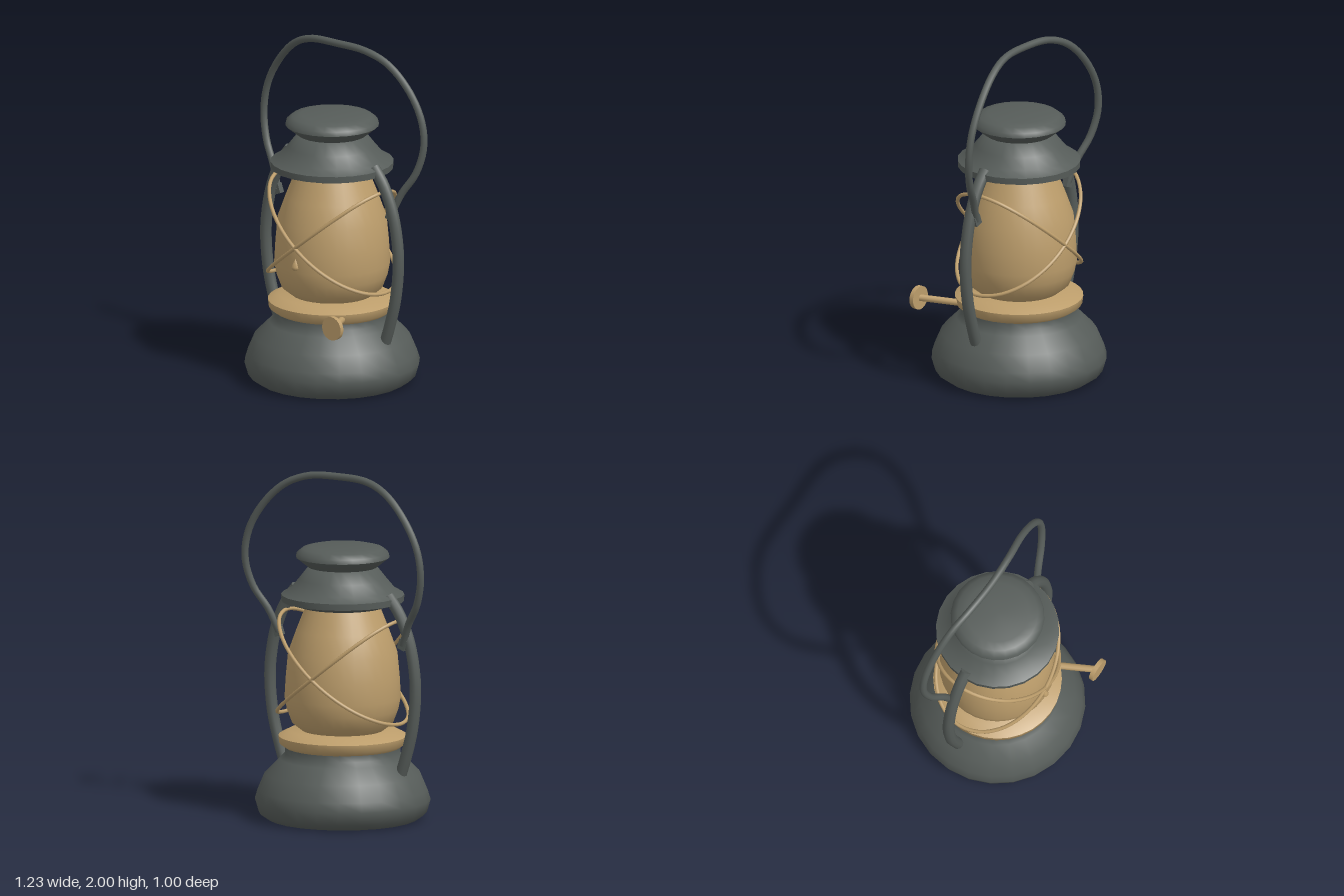
import * as THREE from 'three';
import { toCreasedNormals } from 'three/addons/utils/BufferGeometryUtils.js';

const iron = new THREE.MeshStandardMaterial({ color: 0x565c59 });
iron.name = 'dark iron';
const brass = new THREE.MeshStandardMaterial({ color: 0xbc9d6b });
brass.name = 'warm brass';

const vec = (p) => new THREE.Vector3(...p);

export function createModel() {
  const model = new THREE.Group();
  model.name = 'lantern';

  const add = (name, geometry, material) => {
    const mesh = new THREE.Mesh(geometry, material);
    mesh.name = name;
    model.add(mesh);
    return mesh;
  };
  // Turned part: profile of [radius, y] from bottom to top
  const turned = (name, profile, material, sides = 24) => {
    const geo = new THREE.LatheGeometry(profile.map(([r, y]) => new THREE.Vector2(r, y)), sides);
    return add(name, toCreasedNormals(geo, 0.95), material);
  };
  // Bent rod through points, with closed ends
  const rod = (name, points, radius, material, segments = 32) => {
    const pts = points.map(vec);
    const curve = new THREE.CatmullRomCurve3(pts);
    const mesh = add(name, new THREE.TubeGeometry(curve, segments, radius, 10), material);
    for (const t of [0, 1]) {
      const cap = new THREE.Mesh(new THREE.CircleGeometry(radius, 10), material);
      cap.name = name + 'End';
      cap.position.copy(curve.getPointAt(t));
      const out = curve.getTangentAt(t).multiplyScalar(t ? 1 : -1);
      cap.quaternion.setFromUnitVectors(new THREE.Vector3(0, 0, 1), out);
      mesh.add(cap);
    }
    return mesh;
  };

  // Fuel tank
  turned('tank', [[0, 0], [0.43, 0], [0.48, 0.035], [0.502, 0.11], [0.485, 0.165], [0.445, 0.26],
    [0.36, 0.345], [0.33, 0.375], [0.33, 0.42], [0, 0.42]], iron);

  // Burner collar
  turned('collar', [[0, 0.41], [0.33, 0.412], [0.362, 0.435], [0.367, 0.478], [0.305, 0.51], [0, 0.512]], brass, 32);

  // Globe
  turned('globe', [[0.22, 0.5], [0.24, 0.515], [0.29, 0.555], [0.318, 0.63], [0.332, 0.7], [0.325, 0.82],
    [0.312, 0.96], [0.265, 1.09], [0.21, 1.23]], brass, 32);

  // Hood and chimney cap
  turned('hood', [[0, 1.228], [0.25, 1.228], [0.35, 1.258], [0.352, 1.295], [0.3, 1.325],
    [0.25, 1.385], [0.195, 1.455], [0, 1.455]], iron);
  turned('chimneyCap', [[0, 1.452], [0.195, 1.452], [0.268, 1.51], [0.262, 1.535], [0.23, 1.56],
    [0.18, 1.572], [0, 1.572]], iron);

  // Small drop on the front of the globe
  const drop = turned('flameDrop', [[0, -0.032], [0.016, -0.026], [0.024, -0.01], [0.016, 0.012],
    [0.006, 0.032], [0, 0.05]], brass, 10);
  drop.position.set(0, 0.74, 0.325);

  // Side tubes
  for (const s of [1, -1]) {
    rod(s > 0 ? 'leftTube' : 'rightTube', [[0.31, 1.31], [0.385, 1.21], [0.45, 1.06], [0.485, 0.89],
      [0.492, 0.75], [0.47, 0.55], [0.425, 0.38], [0.395, 0.29]].map(([x, y]) => [s * x, y, 0]), 0.034, iron);
  }

  // Carrying handle
  const half = [[0.42, 1.04, -0.02], [0.475, 1.17, -0.045], [0.555, 1.3, -0.08], [0.594, 1.46, -0.104],
    [0.57, 1.62, -0.108], [0.48, 1.78, -0.1], [0.345, 1.91, -0.08], [0.2, 1.968, -0.055]];
  const other = half.map(([x, y, z]) => [-x, y, z]).reverse();
  rod('handle', [...half, [0, 1.979, -0.043], ...other], 0.021, iron, 72);
  for (const s of [1, -1]) {
    const tab = add('handleEnd', new THREE.BoxGeometry(0.05, 0.06, 0.035), iron);
    tab.position.set(s * 0.422, 1.045, -0.02);
    tab.rotation.z = -s * 0.35;
  }

  // Two crossed guard wires looping round the globe
  for (const s of [1, -1]) {
    const loop = [];
    for (let i = 0; i < 16; i++) {
      const a = (i / 16) * Math.PI * 2;
      const c = Math.cos(a), n = Math.sin(a);
      loop.push(vec([s * (0.382 * c - 0.008 * c * c), 0.875 + 0.297 * c - 0.03 * n * n, 0.334 * n]));
    }
    const curve = new THREE.CatmullRomCurve3(loop, true);
    add('guardWire', new THREE.TubeGeometry(curve, 64, 0.011, 8, true), brass);
  }

  // Wick adjuster
  rod('knobStem', [[0.26, 0.448, 0.22], [0.37, 0.463, 0.435]], 0.02, brass, 2);
  const knob = add('knob', new THREE.CylinderGeometry(0.069, 0.069, 0.026, 20), brass);
  knob.rotation.x = Math.PI / 2;
  knob.position.set(0.37, 0.463, 0.437);

  return model;
}
